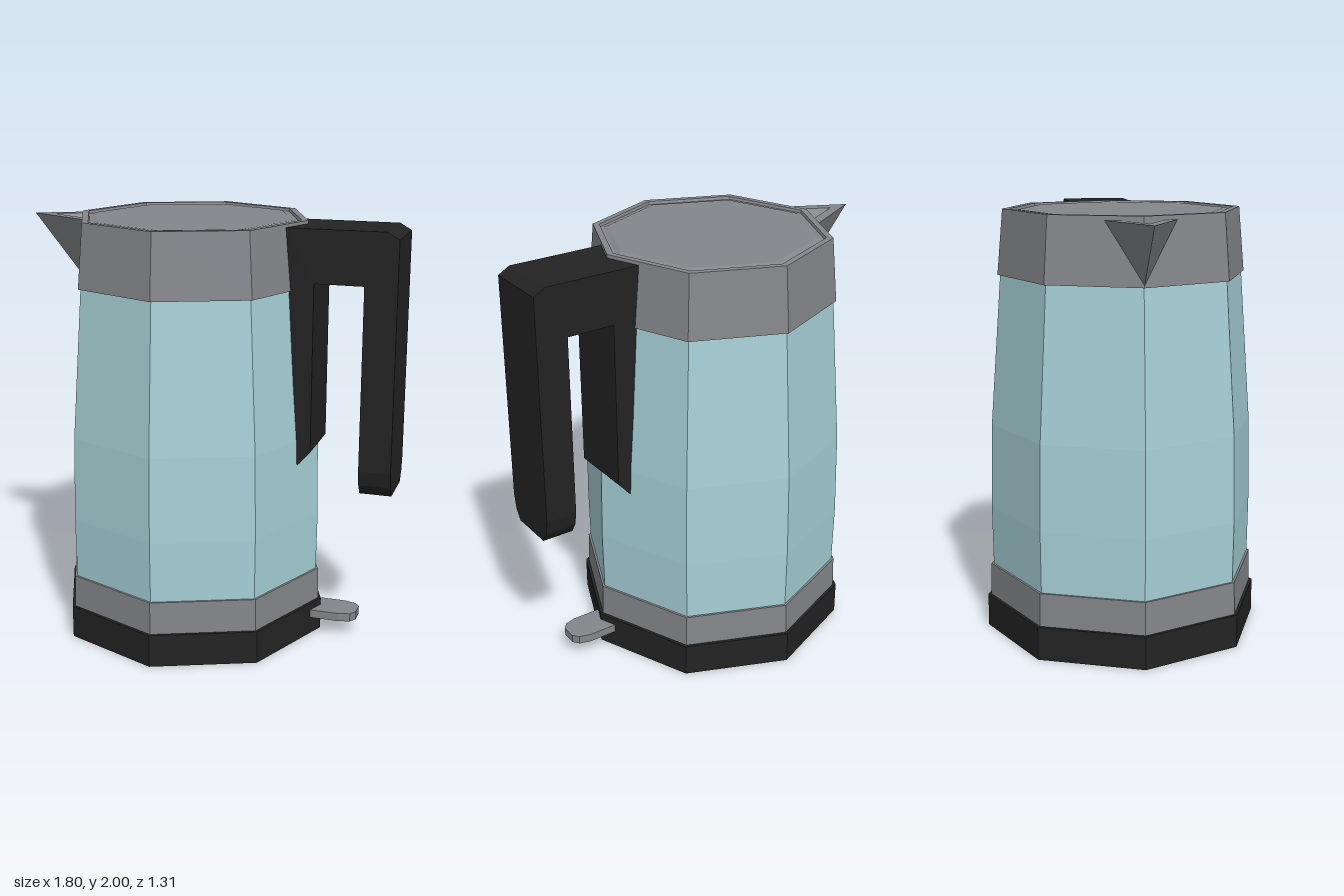
import * as THREE from 'three';

const paint = (name, color) => new THREE.MeshStandardMaterial({ name, color, flatShading: true });

export function createModel() {
  const teal = paint('pale teal', 0xa6d0d6);
  const metal = paint('grey metal', 0x84868b);
  const black = paint('black plastic', 0x232323);
  const kettle = new THREE.Group();
  kettle.name = 'kettle';

  const add = (name, geometry, material, x = 0, y = 0, z = 0) => {
    const mesh = new THREE.Mesh(geometry, material);
    mesh.name = name;
    mesh.position.set(x, y, z);
    kettle.add(mesh);
    return mesh;
  };
  const points = (list) => list.map(([a, b]) => new THREE.Vector2(a, b));
  // Eight-sided turned part; the jug's axis sits left of the origin
  const turned = (name, profile, material) =>
    add(name, new THREE.LatheGeometry(points(profile), 8), material, -0.1);
  const extrude = (outline, depth) =>
    new THREE.ExtrudeGeometry(new THREE.Shape(points(outline)), { depth, bevelEnabled: false });

  // Jug, from the power base upwards
  turned('powerBase', [[0, 0], [0.655, 0], [0.655, 0.157], [0, 0.157]], black);
  turned('lowerBand', [[0.6, 0.15], [0.64, 0.157], [0.636, 0.312], [0.6, 0.312]], metal);
  turned('body', [[0.625, 0.3], [0.629, 0.6], [0.62, 1.0], [0.567, 1.71]], teal);
  turned('collar', [[0.55, 1.7], [0.58, 1.7], [0.553, 2], [0.522, 2], [0.518, 1.987]], metal);
  turned('lid', [[0.52, 1.987], [0.505, 1.987], [0.48, 1.996], [0, 1.996]], metal);

  // Spout: open V-shaped trough with a flat rim
  const tip = [-0.9, 1.98, 0], keel = [-0.67, 1.7, 0];
  const front = [-0.585, 1.98, 0.16], back = [-0.585, 1.98, -0.16];
  const inTip = [-0.8, 1.98, 0], inKeel = [-0.665, 1.8, 0];
  const inFront = [-0.6, 1.98, 0.1], inBack = [-0.6, 1.98, -0.1];
  const faces = [
    tip, keel, front, tip, back, keel,
    tip, front, inFront, tip, inFront, inTip,
    tip, inTip, inBack, tip, inBack, back,
    inTip, inFront, inKeel, inTip, inKeel, inBack,
  ];
  const spout = new THREE.BufferGeometry();
  spout.setAttribute('position', new THREE.Float32BufferAttribute(faces.flat(), 3));
  spout.computeVertexNormals();
  add('spout', spout, metal);

  // Handle: mounting flange with top arm, then the hanging grip
  add('handleArm', extrude([
    [0.39, 1.985], [0.46, 0.88], [0.522, 0.95], [0.522, 1.74],
    [0.9, 1.74], [0.9, 1.953], [0.845, 1.985],
  ], 0.312), black, 0, 0, -0.156);
  add('handleGrip', extrude([
    [-0.156, 1.74], [-0.156, 0.88], [-0.142, 0.81], [-0.11, 0.76],
    [0.11, 0.76], [0.142, 0.81], [0.156, 0.88], [0.156, 1.74],
  ], 0.15).rotateY(Math.PI / 2), black, 0.75);

  // Switch tab poking out of the base
  add('switchTab', extrude([
    [0.5, -0.08], [0.66, -0.08], [0.715, -0.065], [0.738, -0.035],
    [0.738, 0.035], [0.715, 0.065], [0.66, 0.08], [0.5, 0.08],
  ], 0.04).rotateX(-Math.PI / 2), metal, 0, 0.083, 0);

  return kettle;
}
